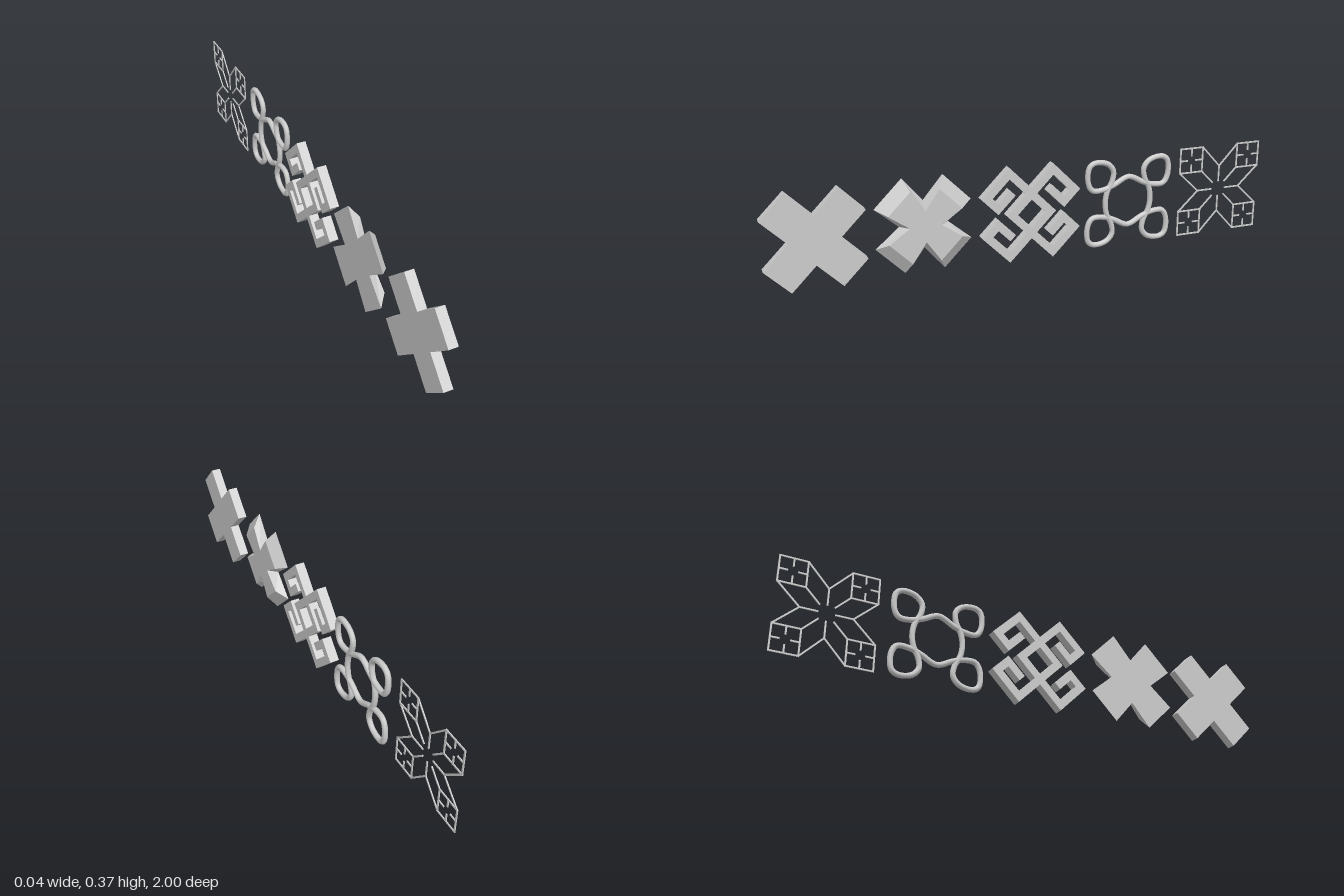
import * as THREE from 'three';

const BACK = -0.02, DEPTH = 0.036;
const grey = new THREE.MeshStandardMaterial({ color: 0xcccccc, flatShading: true });
const smooth = new THREE.MeshStandardMaterial({ color: 0xcccccc });

const toShape = pts => new THREE.Shape(pts.map(p => new THREE.Vector2(p[0], p[1])));

// Turn a point by quarter turns, clockwise from the given angle
const turn = ([u, v], angle) => [
  u * Math.cos(angle) - v * Math.sin(angle),
  u * Math.sin(angle) + v * Math.cos(angle),
];

function extrude(shape) {
  const g = new THREE.ExtrudeGeometry(shape, { depth: DEPTH, bevelEnabled: false });
  return g.translate(0, 0, BACK);
}

// Diagonal cross outline: two tip corners (far, near) per arm and a notch between arms
function crossShape(far, near, notch) {
  const pts = [];
  for (let i = 0; i < 4; i++)
    for (const p of [[notch, 0], [far, near], [near, far]]) pts.push(turn(p, i * Math.PI / 2));
  return toShape(pts);
}

// Cross whose front face is drawn in, giving sloping sides
function bevelledCross() {
  const g = extrude(crossShape(0.182, 0.076, 0.092));
  const p = g.attributes.position;
  const inset = c => {
    const a = Math.abs(c);
    const to = a > 0.15 ? 0.138 : a > 0.085 ? 0.06 : a > 0.05 ? 0.054 : a;
    return Math.sign(c) * to;
  };
  for (let i = 0; i < p.count; i++)
    if (p.getZ(i) > 0) p.setXY(i, inset(p.getX(i)), inset(p.getY(i)));
  g.computeVertexNormals();
  return g;
}

// Square ring with a squared spiral on each corner, mirrored from arm to arm
function keyCross() {
  const arm = [
    [0.194, 0.07], [0.194, -0.087], [0.101, -0.087], [0.101, 0.01], [0.132, 0.01],
    [0.132, -0.056], [0.163, -0.056], [0.163, 0.039], [0.07, 0.039],
  ];
  const mirrored = arm.map(([u, v]) => [u, -v]).reverse();
  const pts = [];
  for (let i = 0; i < 4; i++) {
    const angle = Math.PI / 4 - i * Math.PI / 2;
    for (const p of [...(i % 2 ? mirrored : arm), [0.07, -0.07]]) pts.push(turn(p, angle));
  }
  const shape = toShape(pts);
  const h = 0.039 * Math.SQRT2;
  shape.holes.push(toShape([[h, 0], [0, h], [-h, 0], [0, -h]]));
  return extrude(shape);
}

// One continuous tube: a round middle with a loop at each corner
function loopedTube() {
  const quarter = [
    [0, 0.098], [0.063, 0.07], [0.105, 0.056], [0.153, 0.057], [0.172, 0.09], [0.168, 0.15],
    [0.145, 0.166], [0.092, 0.158], [0.066, 0.128], [0.07, 0.088], [0.091, 0.045], [0.098, 0],
  ];
  const pts = [];
  for (let i = 0; i < 4; i++) {
    const sx = i < 2 ? 1 : -1, sy = i === 0 || i === 3 ? 1 : -1;
    const part = quarter.map(([x, y]) => new THREE.Vector3(x * sx, y * sy, 0.006));
    if (i % 2) part.reverse();
    pts.push(...part.slice(0, -1));
  }
  const curve = new THREE.CatmullRomCurve3(pts, true);
  return new THREE.TubeGeometry(curve, 200, 0.011, 8, true);
}

// Thin strokes: corner squares with ticks, notches and spokes
function lineCross() {
  const group = new THREE.Group();
  const stroke = (x1, y1, x2, y2, name) => {
    const len = Math.hypot(x2 - x1, y2 - y1);
    const m = new THREE.Mesh(new THREE.BoxGeometry(len + 0.005, 0.006, 0.004), grey);
    m.position.set((x1 + x2) / 2, (y1 + y2) / 2, -0.005);
    m.rotation.z = Math.atan2(y2 - y1, x2 - x1);
    m.name = name;
    group.add(m);
  };
  const a = 0.08, b = 0.18, mid = 0.13, tick = 0.03, notch = 0.095, inner = 0.032;
  for (const sx of [1, -1]) for (const sy of [1, -1]) {
    const line = (x1, y1, x2, y2, name) => stroke(x1 * sx, y1 * sy, x2 * sx, y2 * sy, name);
    line(a, b, b, b, 'squareSide');
    line(b, b, b, a, 'squareSide');
    line(b, a, a, a, 'squareSide');
    line(a, a, a, b, 'squareSide');
    line(mid, b, mid, b - tick, 'tick');
    line(mid, a, mid, a + tick, 'tick');
    line(b, mid, b - tick, mid, 'tick');
    line(a, mid, a + tick, mid, 'tick');
    line(a, b, 0, notch, 'notchLine');
    line(b, a, notch, 0, 'notchLine');
    line(a, a, 0.028, 0.028, 'diagonalSpoke');
  }
  for (const s of [1, -1]) {
    stroke(s * inner, 0, s * notch, 0, 'straightSpoke');
    stroke(0, s * inner, 0, s * notch, 'straightSpoke');
  }
  return group;
}

export function createModel() {
  const row = new THREE.Group();
  row.name = 'crossRow';
  const place = (name, part, z, material = grey) => {
    const obj = part.isObject3D ? part : new THREE.Mesh(part, material);
    obj.name = name;
    obj.position.set(-z, 0.188, 0);
    row.add(obj);
  };
  place('plainCross', extrude(crossShape(0.184, 0.092, 0.092)), 0.816);
  place('bevelledCross', bevelledCross(), 0.416);
  place('keyCross', keyCross(), 0.005);
  place('loopedTubeCross', loopedTube(), -0.403, smooth);
  place('lineCross', lineCross(), -0.818);

  // Stand the row along z with the faces towards +x
  row.rotation.y = Math.PI / 2;
  const model = new THREE.Group();
  model.add(row);
  return model;
}
